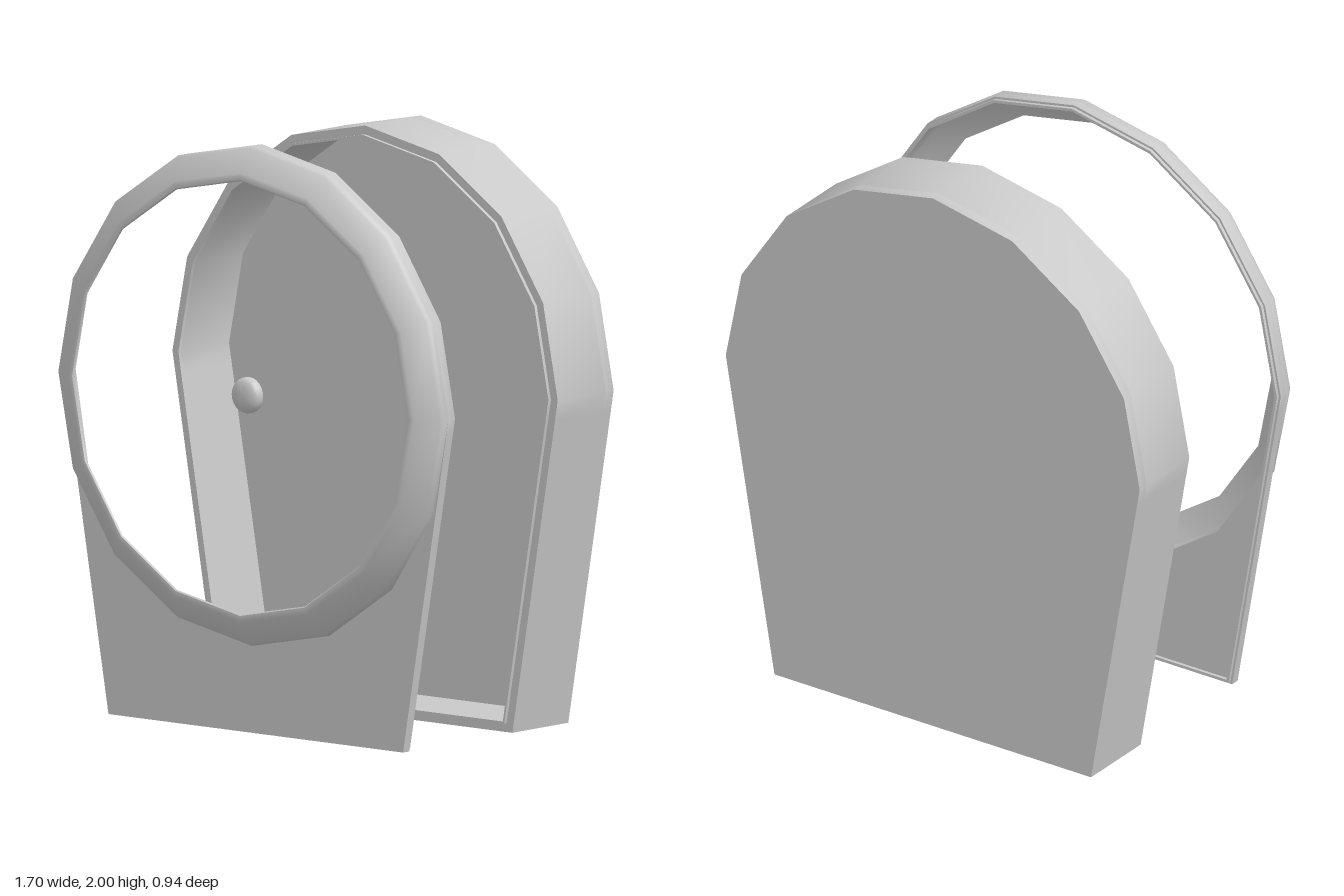
import * as THREE from 'three';
import { toCreasedNormals } from 'three/addons/utils/BufferGeometryUtils.js';

const R = 0.85, CY = 1.15, SEGMENTS = 16;

// Points on a 16-sided circle, from angle 0 over n steps
const arc = (r, n) => Array.from({ length: n }, (_, i) => {
  const a = i * Math.PI * 2 / SEGMENTS;
  return new THREE.Vector2(r * Math.cos(a), CY + r * Math.sin(a));
});

// Arched case outline: half circle on top, flat sides tapering to the base
const outline = (inset = 0) => {
  const top = arc(R - inset, SEGMENTS / 2 + 1);
  const left = new THREE.Vector2(-0.65 + inset * 0.85, inset);
  const right = new THREE.Vector2(0.65 - inset * 0.85, inset);
  return [
    ...top,
    top[SEGMENTS / 2].clone().lerp(left, 0.06), left,
    right, top[0].clone().lerp(right, 0.06),
  ];
};

export function createModel() {
  const group = new THREE.Group();
  group.name = 'explodedClockCase';
  const grey = new THREE.MeshStandardMaterial({ color: 0xc9c9c9 });
  grey.name = 'grey';

  const add = (name, geometry) => {
    const mesh = new THREE.Mesh(toCreasedNormals(geometry, 0.7), grey);
    mesh.name = name;
    group.add(mesh);
    return mesh;
  };

  // Flat slab between two z values, with an optional hole
  const slab = (name, points, z0, z1, hole) => {
    const shape = new THREE.Shape(points);
    if (hole) shape.holes.push(new THREE.Path(hole));
    const geometry = new THREE.ExtrudeGeometry(shape, { depth: z1 - z0, bevelEnabled: false });
    return add(name, geometry.translate(0, 0, z0));
  };

  // Turned part facing +z, centred on the dial
  const turned = (name, profile, segments) => {
    const points = profile.map(([r, z]) => new THREE.Vector2(r, z));
    const geometry = new THREE.LatheGeometry(points, segments).rotateX(Math.PI / 2);
    return add(name, geometry.translate(0, CY, 0));
  };

  // Hollow back case with a stepped rim
  slab('caseBack', outline(), -0.47, -0.43);
  slab('caseWall', outline(), -0.43, -0.18, outline(0.037));
  slab('caseLip', outline(0.03), -0.18, -0.167, outline(0.037));

  // Front plate with a wide round opening and a raised rim on its back
  slab('frontPlate', outline(), 0.355, 0.387, arc(0.833, SEGMENTS));
  slab('frontPlateRim', outline(0.008), 0.343, 0.355, outline(0.018));

  // Bezel ring: a thin shell, hollow behind its bevel
  turned('bezel', [
    [0.833, 0.385], [0.85, 0.385], [0.85, 0.408], [0.843, 0.42],
    [0.765, 0.466], [0.755, 0.47], [0.741, 0.469], [0.737, 0.464],
    [0.825, 0.413], [0.833, 0.4], [0.833, 0.385],
  ], SEGMENTS);

  // Domed hub at the dial centre
  turned('hub', [
    [0, 0.42], [0.061, 0.42], [0.061, 0.436], [0.057, 0.445],
    [0.048, 0.452], [0.03, 0.457], [0, 0.459],
  ], 24).position.y = 0.005;

  // Tiny flat pin between case and plate at floor level
  add('pin', new THREE.BoxGeometry(0.012, 0.0006, 0.01).translate(0, 0.0003, -0.045));

  return group;
}
